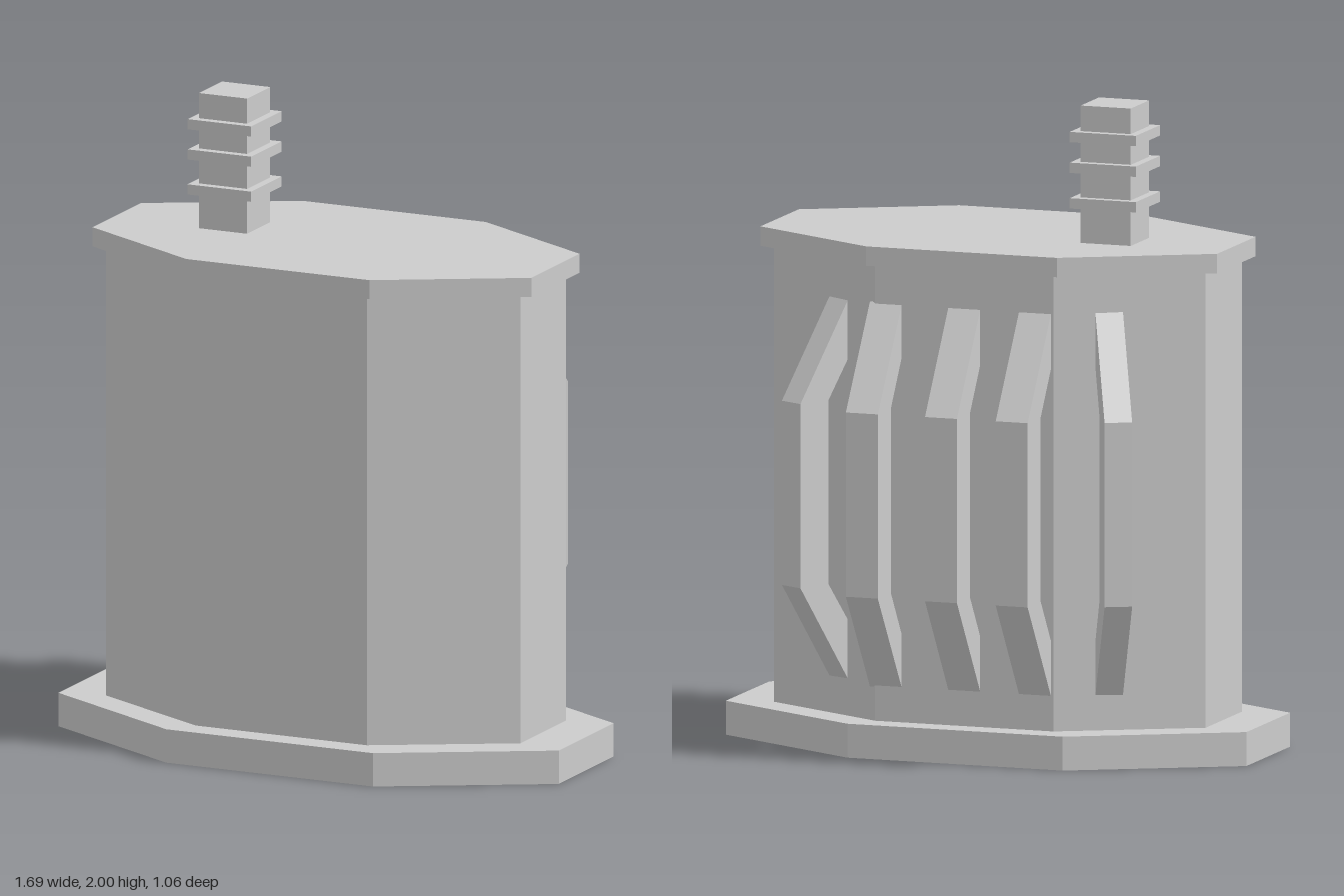
import * as THREE from 'three';

const material = new THREE.MeshStandardMaterial({ color: 0xcccccc, flatShading: true });
const CENTER_Z = 0.061;

function add(parent, name, geometry) {
  const mesh = new THREE.Mesh(geometry, material);
  mesh.name = name;
  parent.add(mesh);
  return mesh;
}

// Upright prism on a stretched octagon: hx, hz are half sizes, cx, cz half lengths of the straight sides
function octagonPrism(hx, hz, cx, cz, y0, y1) {
  const shape = new THREE.Shape([
    [hx, -cz], [hx, cz], [cx, hz], [-cx, hz], [-hx, cz], [-hx, -cz], [-cx, -hz], [cx, -hz],
  ].map(([x, z]) => new THREE.Vector2(x, z)));
  return new THREE.ExtrudeGeometry(shape, { depth: y1 - y0, bevelEnabled: false })
    .rotateX(-Math.PI / 2)
    .translate(0, y0, CENTER_Z);
}

// Bent cooling pipe standing off the wall; x of the profile points outward
function coolingPipe(reach, width) {
  const inner = reach - 0.115;
  const rise = inner * 1.5;
  const shape = new THREE.Shape([
    [-0.03, 0.21], [0, 0.21], [reach, 0.52], [reach, 1.09], [0, 1.4], [-0.03, 1.4],
    [-0.03, 1.135 + rise], [inner, 1.09], [inner, 0.52], [-0.03, 0.475 - rise],
  ].map(([x, y]) => new THREE.Vector2(x, y)));
  return new THREE.ExtrudeGeometry(shape, { depth: width, bevelEnabled: false })
    .translate(0, 0, -width / 2);
}

export function createModel() {
  const model = new THREE.Group();
  model.name = 'transformer';

  // Tank
  add(model, 'base', octagonPrism(0.847, 0.468, 0.35, 0.193, 0, 0.105));
  add(model, 'tank', octagonPrism(0.702, 0.386, 0.29, 0.16, 0.105, 1.515));
  add(model, 'lid', octagonPrism(0.743, 0.41, 0.31, 0.17, 1.515, 1.575));

  // Terminal with square insulator rings
  const terminal = new THREE.Group();
  terminal.name = 'terminal';
  terminal.position.set(-0.363, 0, 0.02);
  model.add(terminal);
  add(terminal, 'terminalPost', new THREE.BoxGeometry(0.163, 0.425, 0.163)).position.y = 1.7875;
  for (const y of [1.7, 1.81, 1.905]) {
    add(terminal, 'insulatorRing', new THREE.BoxGeometry(0.215, 0.032, 0.215)).position.y = y;
  }

  // Cooling pipes: x, z on the wall, outward angle in degrees, reach, width
  const pipes = [
    [-0.44, -0.24, 118, 0.21, 0.085],
    [-0.23, -0.322, 90, 0.208, 0.104],
    [0, -0.322, 90, 0.208, 0.104],
    [0.256, -0.322, 90, 0.212, 0.104],
    [0.436, -0.238, 62, 0.2, 0.085],
  ];
  for (const [x, z, angle, reach, width] of pipes) {
    const pipe = add(model, 'coolingPipe', coolingPipe(reach, width));
    pipe.position.set(x, 0, z);
    pipe.rotation.y = THREE.MathUtils.degToRad(angle);
  }

  return model;
}
